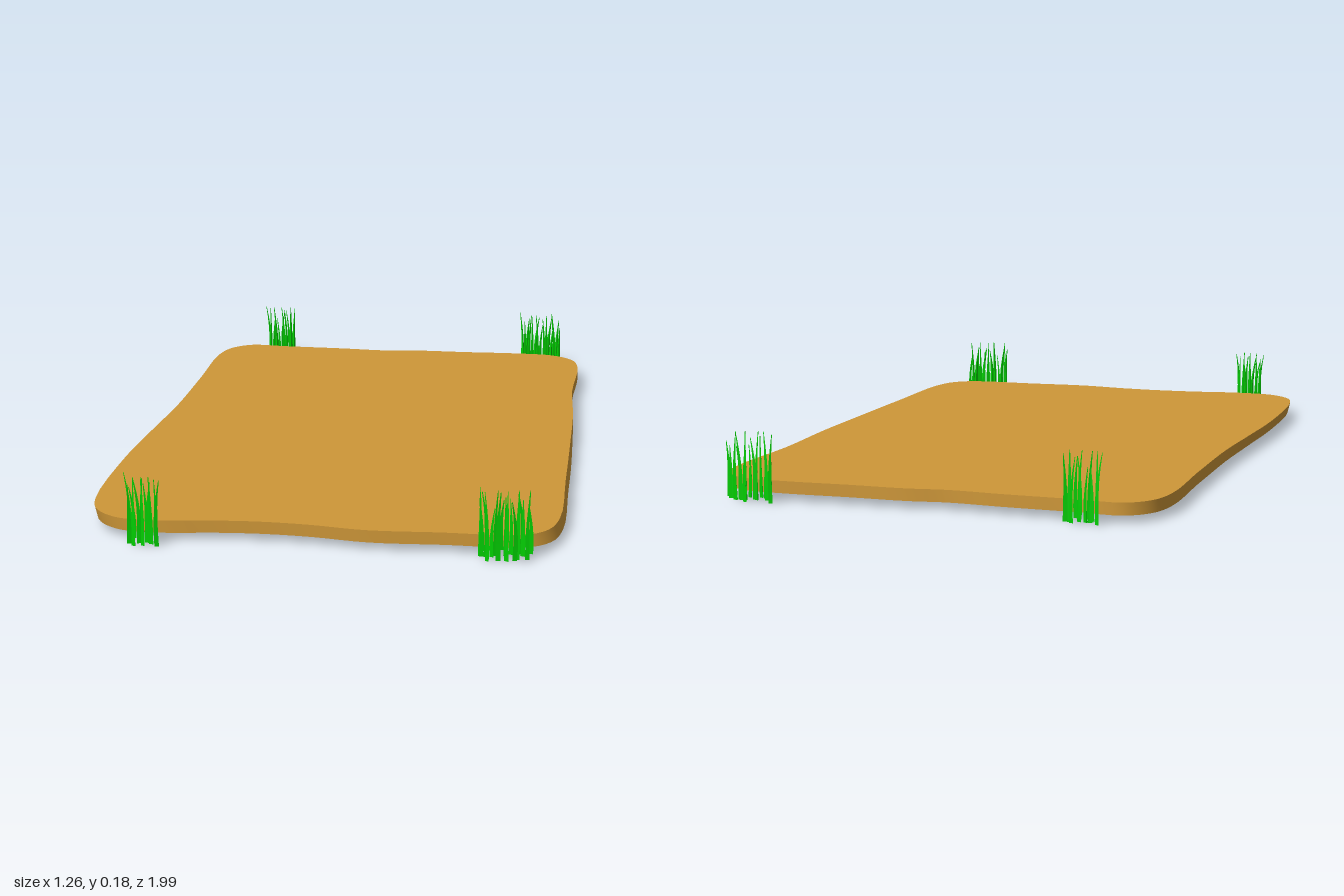
import * as THREE from 'three';
import { toCreasedNormals, mergeGeometries } from 'three/addons/utils/BufferGeometryUtils.js';

const clay = new THREE.MeshStandardMaterial({ color: 0xce9738 });
clay.name = 'ochre earth';
const green = new THREE.MeshStandardMaterial({ color: 0x00cc00 });
green.name = 'grass green';

// Small seeded generator for the grass
function makeRandom(seed) {
  return () => {
    seed = (seed * 16807) % 2147483647;
    return seed / 2147483647;
  };
}

// Wavy rounded slab; x and z of the rim, clockwise from the back right corner
function createSlab() {
  const rim = [
    [-0.607, -0.80], [-0.58, -0.895], [-0.52, -0.945], [-0.4, -0.94], [-0.2, -0.935],
    [-0.05, -0.926], [0.06, -0.94], [0.22, -0.94], [0.4, -0.945], [0.52, -0.934],
    [0.59, -0.88], [0.613, -0.79], [0.606, -0.48], [0.618, -0.2], [0.62, 0.1],
    [0.62, 0.45], [0.617, 0.78], [0.59, 0.875], [0.53, 0.922], [0.32, 0.93],
    [0.13, 0.938], [-0.02, 0.916], [-0.15, 0.909], [-0.28, 0.917], [-0.4, 0.934],
    [-0.52, 0.926], [-0.59, 0.87], [-0.62, 0.78], [-0.633, 0.4], [-0.62, 0.1],
    [-0.607, -0.15], [-0.606, -0.5],
  ];
  const curve = new THREE.CatmullRomCurve3(
    rim.map(([x, z]) => new THREE.Vector3(x, -z, 0)), true);
  const outline = curve.getPoints(128).slice(0, -1).map((p) => new THREE.Vector2(p.x, p.y));
  const flat = new THREE.ExtrudeGeometry(new THREE.Shape(outline), { depth: 0.033, bevelEnabled: false });
  flat.rotateX(-Math.PI / 2).translate(0, 0.02, 0);
  // The underside is shifted a little towards the front, so the edges lean
  const pos = flat.attributes.position;
  for (let i = 0; i < pos.count; i++) {
    const lean = 0.008 * THREE.MathUtils.smoothstep(pos.getZ(i), -0.3, 0.3);
    if (pos.getY(i) < 0.03) pos.setX(i, pos.getX(i) + lean);
  }
  const mesh = new THREE.Mesh(toCreasedNormals(flat, 0.7), clay);
  mesh.name = 'slab';
  return mesh;
}

// Three-sided blade with its flat side to +z, narrowing and bent along its height
function createBlade(height, radius, bendX, bendZ, turn) {
  const blade = new THREE.CylinderGeometry(radius * 0.15, radius, height, 3, 5);
  blade.rotateY(Math.PI).translate(0, height / 2, 0);
  const pos = blade.attributes.position;
  for (let i = 0; i < pos.count; i++) {
    const t = pos.getY(i) / height;
    const widen = 1 + 1.1 * t * (1 - t);
    pos.setX(i, pos.getX(i) * widen + bendX * (t * t - 0.3 * Math.sin(t * Math.PI)));
    pos.setZ(i, pos.getZ(i) * 0.8 + bendZ * t * t);
  }
  return toCreasedNormals(blade, 0.7).rotateY(turn);
}

// Cluster of blades in a rectangle of ground; facing is 0 for the front, PI for the back
function createTuft(name, x0, x1, z0, z1, count, seed, facing) {
  const random = makeRandom(seed);
  const blades = [];
  for (let i = 0; i < count; i++) {
    const height = i % 3 === 0 ? 0.183 : 0.13 + 0.05 * random();
    const blade = createBlade(
      height, 0.006 + 0.0015 * random(),
      (random() - 0.55) * 0.024, (random() - 0.4) * 0.018, facing + random() * 0.8 - 0.5);
    const x = x0 + (x1 - x0) * (i + 0.2 + 0.6 * random()) / count;
    const z = z0 + (z1 - z0) * ((i * 0.618 + 0.2 * random()) % 1);
    blades.push(blade.translate(x, (0.187 - height) * 0.5 * random(), z));
  }
  const mesh = new THREE.Mesh(mergeGeometries(blades), green);
  mesh.name = name;
  return mesh;
}

export function createModel() {
  const model = new THREE.Group();
  model.name = 'grassySlab';
  model.add(
    createSlab(),
    createTuft('frontLeftGrass', 0.418, 0.556, 0.945, 0.985, 17, 11, 0),
    createTuft('frontRightGrass', -0.487, -0.402, 0.945, 0.988, 12, 23, 0),
    createTuft('backLeftGrass', 0.412, 0.547, -0.99, -0.958, 15, 37, Math.PI),
    createTuft('backRightGrass', -0.468, -0.376, -0.99, -0.956, 11, 53, Math.PI),
  );
  return model;
}
